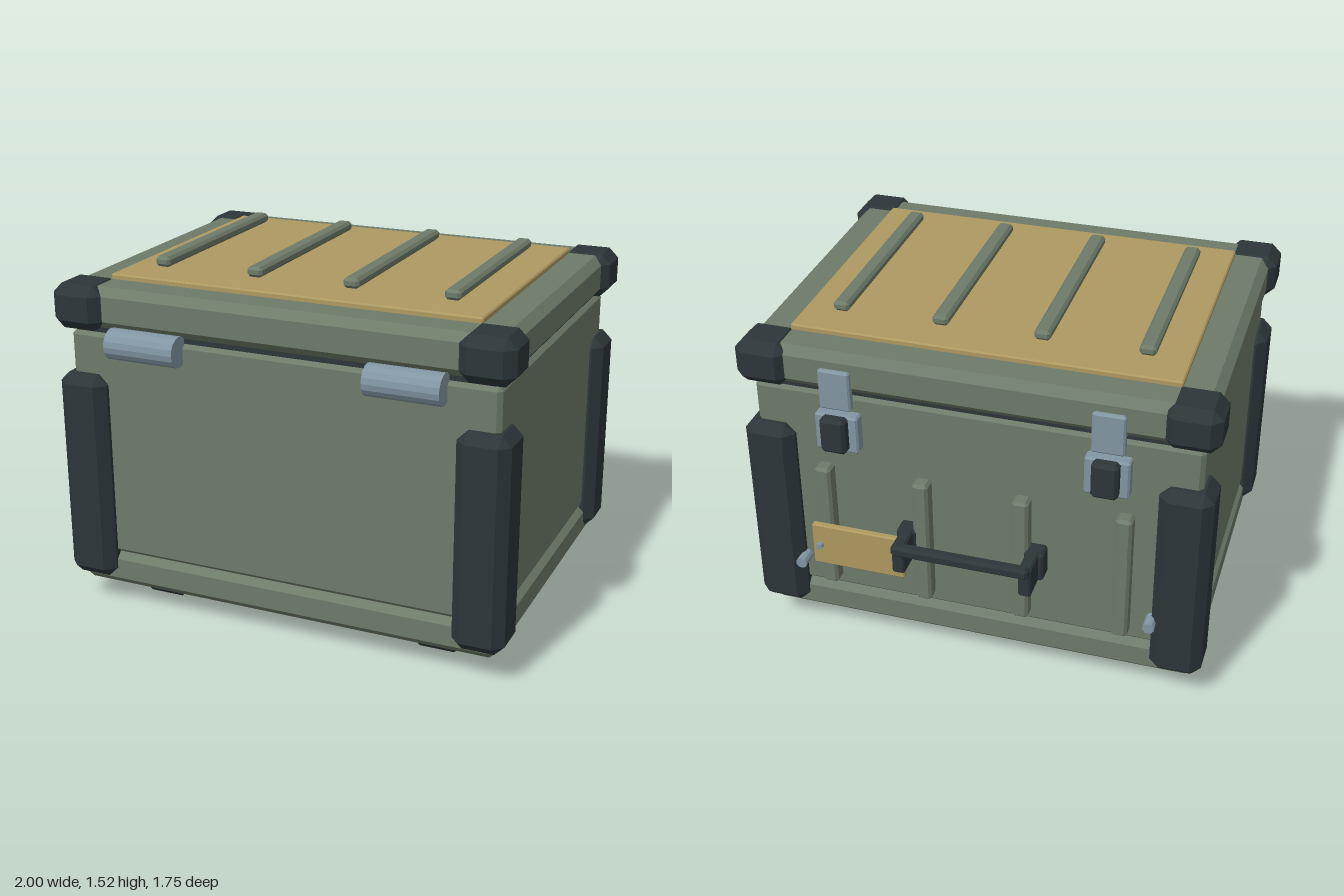
import * as THREE from 'three';
import { ConvexGeometry } from 'three/addons/geometries/ConvexGeometry.js';

const paint = (color) => new THREE.MeshStandardMaterial({ color, flatShading: true });
const green = paint(0x6d7b69);
const black = paint(0x2c3639);
const tan = paint(0xae9961);
const steel = paint(0x8296a3);

// Box between two limits on each axis, with every edge chamfered by c
function chamferBox(x, y, z, c) {
  const points = [];
  for (const i of [0, 1]) for (const j of [0, 1]) for (const k of [0, 1]) {
    const corner = [x[i], y[j], z[k]];
    const inward = [i ? -c : c, j ? -c : c, k ? -c : c];
    for (let keep = 0; keep < 3; keep++) {
      points.push(new THREE.Vector3(...corner.map((v, a) => (a === keep ? v : v + inward[a]))));
    }
  }
  return new ConvexGeometry(points);
}

export function createModel() {
  const model = new THREE.Group();
  model.name = 'storageCase';

  const add = (name, geometry, material) => {
    const mesh = new THREE.Mesh(geometry, material);
    mesh.name = name;
    model.add(mesh);
    return mesh;
  };
  const block = (name, material, x, y, z, c) => add(name, chamferBox(x, y, z, c), material);
  const around = (centre, width) => [centre - width / 2, centre + width / 2];
  const side = (s, a, b) => (s > 0 ? [a, b] : [-b, -a]);
  // Short round head pointing backwards
  const bolt = (name, x, y, zBack, radius, length) => {
    const mesh = add(name, new THREE.CylinderGeometry(radius, radius, length, 10).rotateX(Math.PI / 2), steel);
    mesh.position.set(x, y, zBack + length / 2);
  };

  // Shell: base rim, body, seal and lid
  block('baseRim', green, [-0.95, 0.95], [0.1, 0.255], [-0.665, 0.795], 0.033);
  block('body', green, [-0.938, 0.938], [0.252, 1.24], [-0.655, 0.787], 0.018);
  block('seal', black, [-0.92, 0.92], [1.22, 1.28], [-0.64, 0.77], 0.008);
  block('lid', green, [-0.965, 0.965], [1.26, 1.437], [-0.685, 0.805], 0.035);

  // Lid panel and its raised ribs
  block('lidPanel', tan, [-0.812, 0.812], [1.425, 1.46], [-0.533, 0.653], 0.006);
  const ribCentres = [-0.642, -0.214, 0.214, 0.642];
  for (const x of ribCentres) {
    block('lidRib', green, around(x, 0.068), [1.474, 1.517], [-0.403, 0.527], 0.012);
    block('backRib', green, around(x, 0.07), [0.305, 0.897], [-0.718, -0.645], 0.012);
  }

  // Corner guards and feet
  for (const s of [1, -1]) {
    for (const z of [[-0.714, -0.492], [0.622, 0.845]]) {
      block('bodyCornerGuard', black, side(s, 0.77, 0.99), [0.14, 1.06], z, 0.042);
      block('lidCornerGuard', black, side(s, 0.77, 0.998), [1.252, 1.443], z, 0.042);
    }
    for (const z of [[-0.495, -0.298], [0.432, 0.63]]) {
      block('foot', black, side(s, 0.542, 0.738), [0, 0.13], z, 0.022);
    }
  }

  for (const s of [1, -1]) {
    // Hinge barrels
    const hinge = add('hingeBarrel',
      new THREE.CylinderGeometry(0.065, 0.065, 0.315, 16).rotateZ(Math.PI / 2), steel);
    hinge.position.set(s * 0.567, 1.215, 0.815);

    // Latches
    const x = s * 0.565;
    block('latchKeeper', steel, around(x, 0.135), [1.19, 1.37], [-0.704, -0.665], 0.008);
    block('latchPlate', steel, around(x, 0.185), [0.995, 1.165], [-0.706, -0.645], 0.008);
    block('latchLever', black, around(x, 0.11), [1.01, 1.17], [-0.755, -0.695], 0.014);

    // Handle brackets
    block('handleMount', black, side(s, 0.235, 0.318), [0.53, 0.665], [-0.73, -0.645], 0.01);
    block('handleArm', black, side(s, 0.245, 0.298), [0.53, 0.668], [-0.845, -0.7], 0.008);

    // Bolts beside the corner guards
    bolt('backBolt', s * 0.768, 0.388, -0.73, 0.025, 0.085);
  }
  block('handleBar', black, [-0.292, 0.292], [0.635, 0.685], [-0.875, -0.825], 0.012);

  // Name plate, left blank, with its two screws
  block('backPlate', tan, [0.285, 0.695], [0.425, 0.625], [-0.745, -0.715], 0.005);
  for (const x of [0.32, 0.66]) bolt('plateScrew', x, 0.525, -0.765, 0.014, 0.03);

  return model;
}
